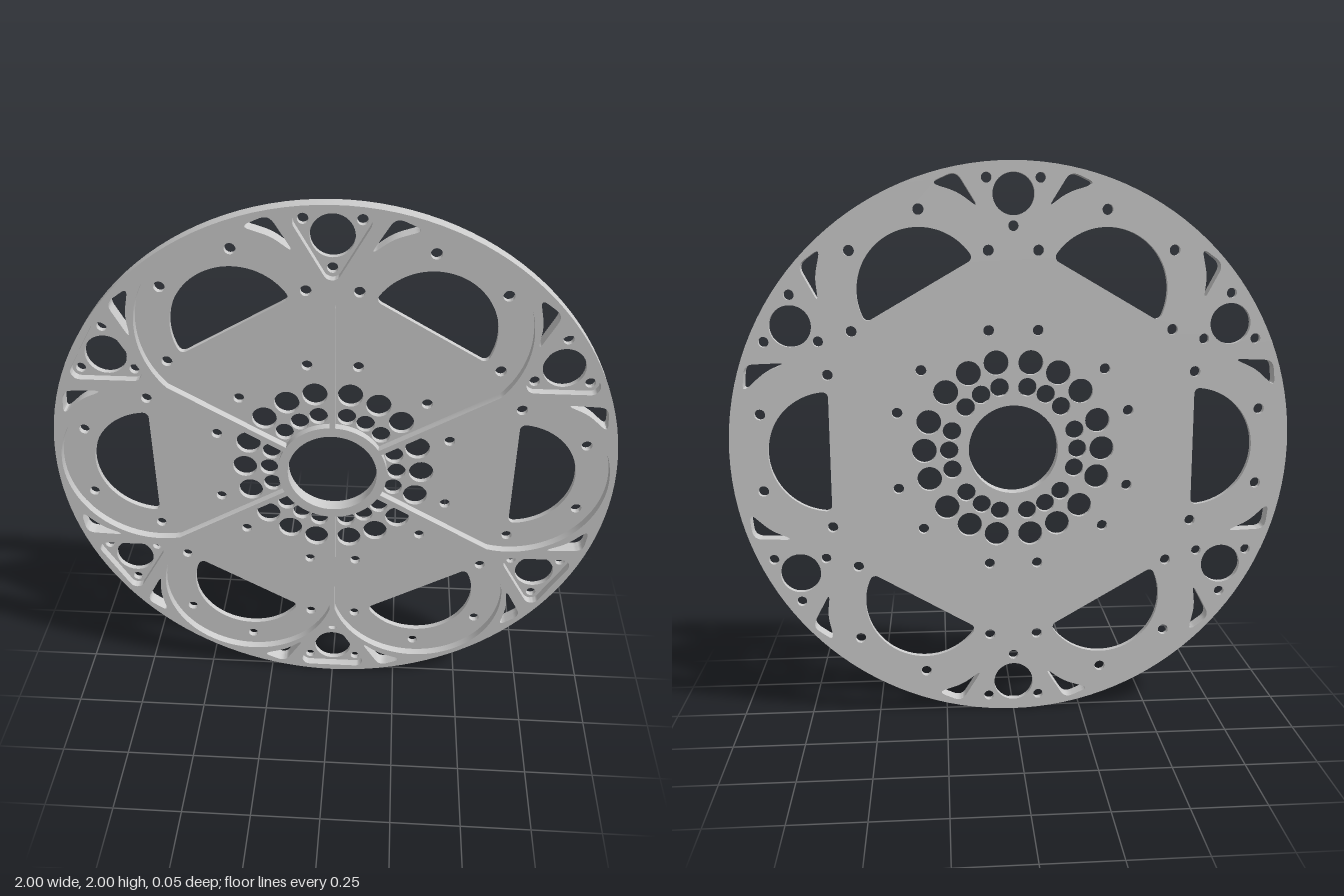
import * as THREE from 'three';
import { toCreasedNormals } from 'three/addons/utils/BufferGeometryUtils.js';

const DEG = Math.PI / 180;
const BACK = -0.025, FLOOR = -0.005, FRONT = 0.025;
const HUB = 0.195, LOBE = 0.65, LOBE_R = 0.33, RIB = 0.01;

// Points along an arc, angles in degrees
function arc(x, y, r, from, to, n) {
  return Array.from({ length: n + 1 }, (_, i) => {
    const a = (from + (to - from) * i / n) * DEG;
    return new THREE.Vector2(x + r * Math.cos(a), y + r * Math.sin(a));
  });
}

const circle = (x, y, r, n = 24) => arc(x, y, r, 0, 360, n).slice(0, n);

const polar = (r, deg) => [r * Math.cos(deg * DEG), r * Math.sin(deg * DEG)];

// Polygon with its corners softened by quadratic curves
function softPolygon(corners, d) {
  const v = corners.map(c => new THREE.Vector2(...c));
  return v.flatMap((p, i) => {
    const prev = v[(i + v.length - 1) % v.length], next = v[(i + 1) % v.length];
    const a = p.clone().add(prev.clone().sub(p).setLength(d));
    const b = p.clone().add(next.clone().sub(p).setLength(d));
    return new THREE.QuadraticBezierCurve(a, p, b).getPoints(6);
  });
}

// Repeat outlines six times around the centre
function six(outlines) {
  const out = [];
  for (let k = 0; k < 6; k++) {
    for (const pts of outlines) {
      out.push(pts.map(p => p.clone().rotateAround(new THREE.Vector2(), k * 60 * DEG)));
    }
  }
  return out;
}

// Disc slab between two depths, pierced by the given outlines
function slab(name, z0, z1, holes) {
  const shape = new THREE.Shape(circle(0, 0, 1, 128));
  shape.holes = holes.map(pts => new THREE.Path(pts));
  const geo = new THREE.ExtrudeGeometry(shape, { depth: z1 - z0, bevelEnabled: false });
  geo.translate(0, 0, z0);
  const mesh = new THREE.Mesh(toCreasedNormals(geo, 0.5),
    new THREE.MeshStandardMaterial({ color: 0xcccccc }));
  mesh.name = name;
  return mesh;
}

export function createModel() {
  const bore = circle(0, 0, 0.16, 64);

  // Rim slots either side of each triangle (triangle axis points up)
  const slotCorners = [[0.118, 0.842], [0.195, 0.965], [0.285, 0.925], [0.19, 0.895]];
  const slots = [1, -1].map(s => softPolygon(slotCorners.map(([x, y]) => [s * x, y]), 0.032));

  // Lobe pocket: round outer end, straight rib sides, hub arc
  const end = 120 - Math.acos((LOBE * 0.5 - RIB) / LOBE_R) / DEG;
  const hubEnd = 30 - Math.asin(RIB / HUB) / DEG;
  const pocket = [
    ...arc(LOBE, 0, LOBE_R, -end, end, 56),
    ...arc(0, 0, HUB, hubEnd, -hubEnd, 12),
  ];

  // Triangular pocket with rounded corners around its three screw holes
  const triCentre = 0.89, triR = 0.107;
  const triCorners = [30, 150, 270].map(a => {
    const [x, y] = polar(triR, a);
    return [x, y + triCentre, a];
  });
  const triangle = triCorners.flatMap(([x, y, a]) => arc(x, y, 0.03, a - 60, a + 60, 10));

  // Half-round window with small fillets at the flat side
  const R = 0.216, f = 0.02;
  const fy = Math.sqrt((R - f) ** 2 - f * f), fa = Math.atan2(fy, f) / DEG;
  const window = [
    ...arc(LOBE, 0, R, -fa, fa, 40),
    ...arc(LOBE + f, fy, f, fa, 180, 6).slice(1),
    ...arc(LOBE + f, -fy, f, 180, 360 - fa, 6).slice(0, -1),
  ];

  // Screw holes around each lobe
  const lobeScrews = [30, 90, 150, 210, 270, 330].map(a => {
    const [x, y] = polar(0.275, a);
    return circle(LOBE + x, y, 0.019, 20);
  });

  // Two rings of lightening holes around the hub, three per sector
  const hubHoles = [-1, 0, 1].flatMap(i => [
    circle(...polar(0.318, i * 18.9), 0.044, 32),
    circle(...polar(0.23, i * 17.6), 0.033, 28),
  ]);

  const triangleHoles = [
    circle(0, triCentre, 0.072, 40),
    ...triCorners.map(([x, y]) => circle(x, y, 0.018, 20)),
  ];

  const model = new THREE.Group();
  model.name = 'spokedDisc';
  model.add(
    slab('backPlate', BACK, FLOOR,
      [bore, ...six([...slots, window, ...lobeScrews, ...hubHoles, ...triangleHoles])]),
    slab('ribsAndRim', FLOOR, FRONT, [bore, ...six([...slots, pocket, triangle])]),
  );
  model.position.y = 1;
  return model;
}
